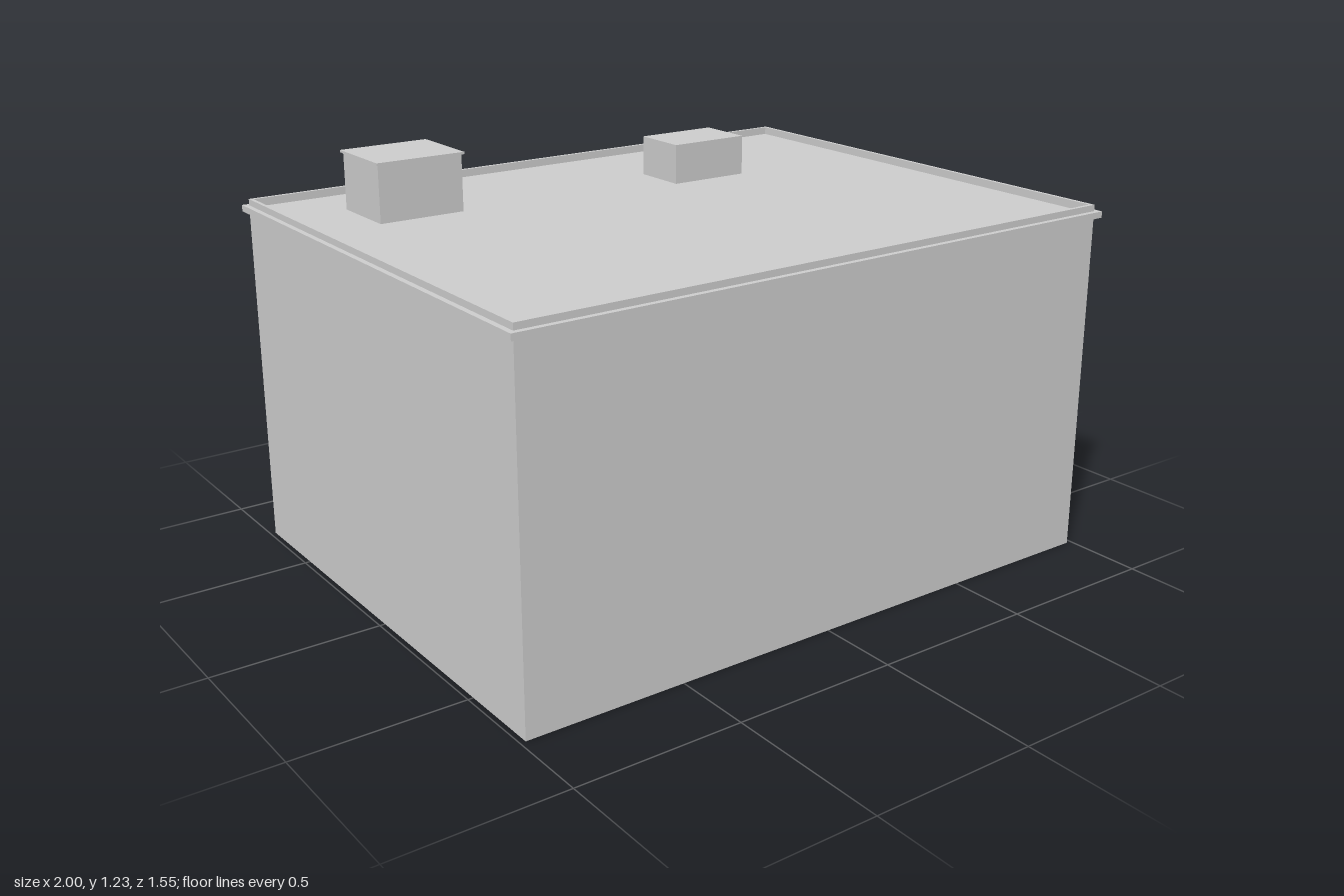
import * as THREE from 'three';

export function createModel() {
  const model = new THREE.Group();
  model.name = 'flatRoofBuilding';
  const concrete = new THREE.MeshStandardMaterial({ color: 0xcccccc, side: THREE.DoubleSide });
  concrete.name = 'concreteGrey';

  const add = (name, geometry, x = 0, y = 0, z = 0, parent = model) => {
    const mesh = new THREE.Mesh(geometry, concrete);
    mesh.name = name;
    mesh.position.set(x, y, z);
    parent.add(mesh);
    return mesh;
  };

  const W = 0.984, D = 0.759;           // wall half sizes
  const inW = 0.973, inD = 0.748;       // inner face of the parapet
  const wallTop = 1.041, ledgeTop = 1.06, parapetTop = 1.079, roofY = 1.055;

  // Thin outer walls, open underneath
  for (const s of [1, -1]) {
    const face = s > 0 ? 0 : Math.PI;
    add(s > 0 ? 'frontWall' : 'backWall', new THREE.PlaneGeometry(2 * W, wallTop), 0, wallTop / 2, s * D).rotation.y = face;
    add(s > 0 ? 'leftWall' : 'rightWall', new THREE.PlaneGeometry(2 * D, wallTop), s * W, wallTop / 2, 0).rotation.y = s * Math.PI / 2;
  }

  // Rectangular frame lying flat between two heights
  const rect = (Type, w, d) => new Type([[-w, -d], [w, -d], [w, d], [-w, d]].map(([x, y]) => new THREE.Vector2(x, y)));
  const ring = (w, d, y0, y1) => {
    const shape = rect(THREE.Shape, w, d);
    shape.holes.push(rect(THREE.Path, inW, inD));
    return new THREE.ExtrudeGeometry(shape, { depth: y1 - y0, bevelEnabled: false })
      .rotateX(-Math.PI / 2).translate(0, y0, 0);
  };
  add('corniceLedge', ring(1, 0.775, wallTop, ledgeTop));
  add('parapet', ring(W, D, ledgeTop, parapetTop));

  // Roof sheet recessed behind the parapet
  add('roof', new THREE.PlaneGeometry(2 * inW, 2 * inD).rotateX(-Math.PI / 2), 0, roofY, 0);

  // Rooftop boxes
  const block = (name, x0, x1, y0, y1, z0, z1) =>
    add(name, new THREE.BoxGeometry(x1 - x0, y1 - y0, z1 - z0), (x0 + x1) / 2, (y0 + y1) / 2, (z0 + z1) / 2);
  block('stairHouse', -0.765, -0.497, roofY, 1.225, -0.559, -0.338);
  block('stairHouseLid', -0.771, -0.491, 1.225, 1.232, -0.567, -0.331);
  block('ventHousing', 0.224, 0.486, roofY, 1.178, -0.447, -0.269);

  return model;
}
